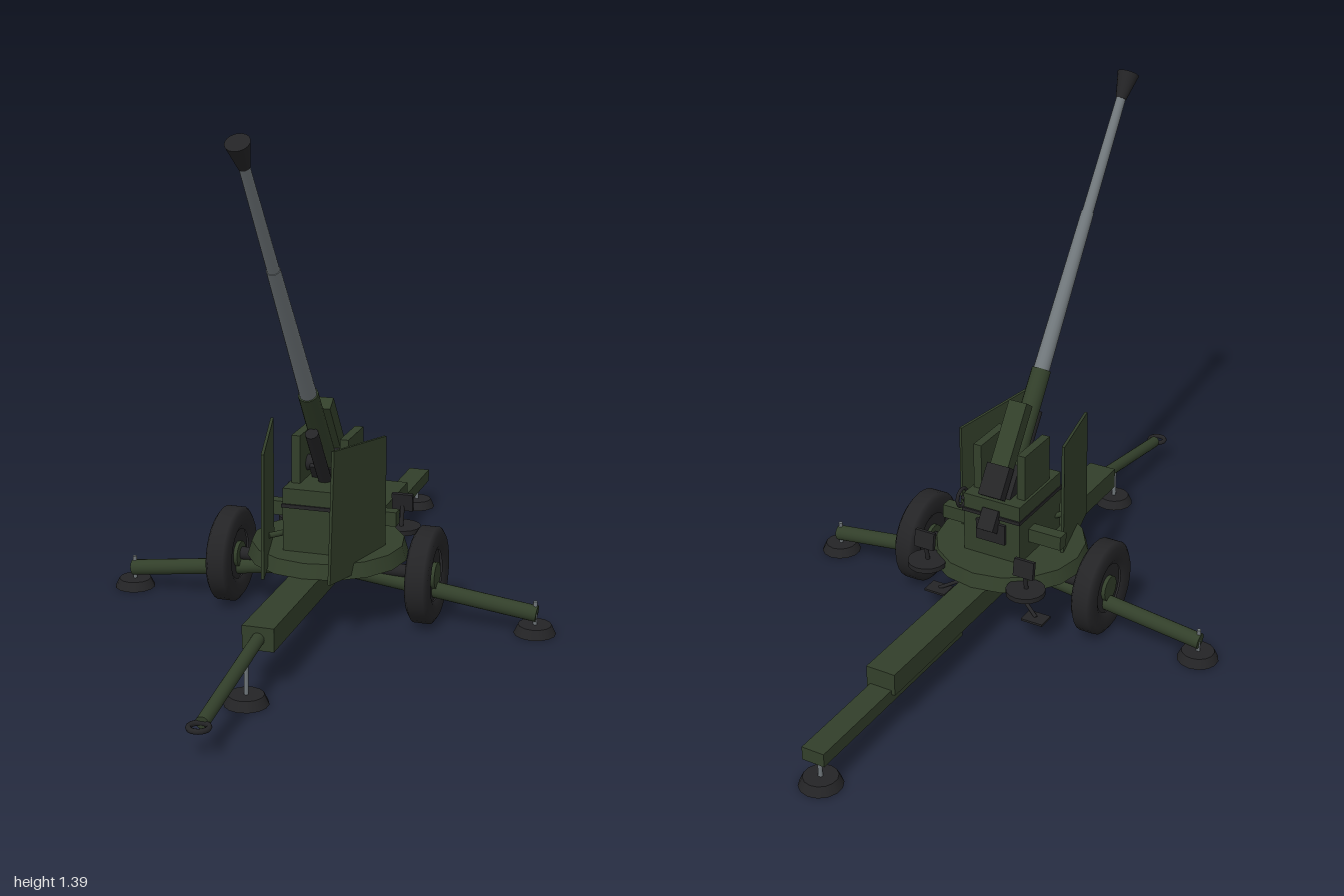
import * as THREE from 'three';

const mat = (color) => new THREE.MeshStandardMaterial({ color, side: THREE.DoubleSide });
const GREEN = mat(0x323f2a), DARK = mat(0x242426), STEEL = mat(0x70777b);
const V = (x, y, z) => new THREE.Vector3(x, y, z);

export function createModel() {
  const root = new THREE.Group();

  const add = (name, geo, material, x = 0, y = 0, z = 0, parent = root) => {
    const m = new THREE.Mesh(geo, material);
    m.name = name;
    m.position.set(x, y, z);
    parent.add(m);
    return m;
  };
  const box = (name, w, h, d, material, x, y, z, parent) =>
    add(name, new THREE.BoxGeometry(w, h, d), material, x, y, z, parent);
  const cyl = (name, rTop, rBottom, h, material, x, y, z, parent, sides = 16) =>
    add(name, new THREE.CylinderGeometry(rTop, rBottom, h, sides), material, x, y, z, parent);
  // Round bar between two points
  const bar = (name, a, b, r, material, parent = root, r2 = r) => {
    const dir = b.clone().sub(a), mid = a.clone().add(b).multiplyScalar(0.5);
    const m = cyl(name, r2, r, dir.length(), material, mid.x, mid.y, mid.z, parent);
    m.quaternion.setFromUnitVectors(V(0, 1, 0), dir.normalize());
    return m;
  };
  // Levelling foot: dish with a screw jack
  const foot = (name, x, z, top) => {
    const g = new THREE.Group();
    g.name = name;
    g.position.set(x, 0, z);
    cyl('footPad', 0.045, 0.057, 0.025, DARK, 0, 0.0125, 0, g, 14);
    cyl('jackScrew', 0.006, 0.006, top, STEEL, 0, top / 2, 0, g, 8);
    root.add(g);
  };

  // Chassis beams, tow bar and ring
  box('mainBeam', 0.084, 0.062, 1.24, GREEN, 0, 0.135, -0.05);
  box('rearBeam', 0.064, 0.037, 0.65, GREEN, 0, 0.098, -0.645);
  bar('towBar', V(0, 0.135, 0.56), V(0, 0.078, 0.945), 0.017, GREEN);
  add('towRing', new THREE.TorusGeometry(0.024, 0.007, 8, 20), DARK, 0, 0.077, 0.965)
    .rotation.x = Math.PI / 2;
  foot('frontFoot', 0, 0.655, 0.12);
  foot('rearFoot', 0, -0.943, 0.085);

  // Axle, wheels, outriggers
  bar('axle', V(-0.26, 0.135, 0), V(0.26, 0.135, 0), 0.018, DARK);
  const tyreProfile = [[0.07, -0.024], [0.085, -0.032], [0.118, -0.032], [0.132, -0.022],
    [0.132, 0.022], [0.118, 0.032], [0.085, 0.032], [0.07, 0.024]]
    .map(([r, h]) => new THREE.Vector2(r, h));
  for (const s of [-1, 1]) {
    const wheel = new THREE.Group();
    wheel.name = 'wheel';
    wheel.position.set(s * 0.282, 0.134, 0.005);
    wheel.rotation.z = -s * Math.PI / 2;
    add('tyre', new THREE.LatheGeometry(tyreProfile, 28), DARK, 0, 0, 0, wheel);
    cyl('rim', 0.075, 0.075, 0.036, DARK, 0, 0, 0, wheel, 24);
    cyl('hub', 0.036, 0.036, 0.058, GREEN, 0, 0, 0, wheel, 16);
    root.add(wheel);

    bar('outrigger', V(s * 0.06, 0.122, 0), V(s * 0.585, 0.055, 0), 0.022, GREEN);
    foot('outriggerFoot', s * 0.58, 0, 0.09);
  }

  // Turntable and carriage body
  cyl('pedestal', 0.07, 0.07, 0.07, DARK, 0, 0.14, 0);
  cyl('turntable', 0.21, 0.222, 0.04, GREEN, 0, 0.185, 0, root, 16);
  box('carriageBody', 0.175, 0.18, 0.235, GREEN, 0, 0.29, 0.01);
  box('bodyRidge', 0.18, 0.01, 0.245, DARK, 0, 0.332, 0.01);
  box('rearHatch', 0.09, 0.06, 0.012, DARK, 0, 0.285, -0.11);
  for (const s of [-1, 1]) {
    box('cradleCheek', 0.024, 0.14, 0.14, GREEN, s * 0.068, 0.443, 0.005);
    box('sideBracket', 0.1, 0.04, 0.035, GREEN, s * 0.136, 0.27, -0.04);
  }

  // Side shields, each given as [distance back from the front edge, height]
  const shield = (s, outline) => {
    const shape = new THREE.Shape(outline.map(([u, v]) => new THREE.Vector2(u, v)));
    const geo = new THREE.ExtrudeGeometry(shape, { depth: 0.008, bevelEnabled: false });
    geo.translate(0, 0, -0.004);
    const m = add('shield', geo, GREEN, s * 0.091, 0, 0.28);
    m.rotation.y = Math.atan2(0.28, s * 0.07);
    return m;
  };
  shield(1, [[0, 0.18], [0.285, 0.165], [0.288, 0.512], [0.02, 0.537]]);
  shield(-1, [[0, 0.175], [0.285, 0.172], [0.288, 0.535], [0.02, 0.51]]);
  for (const s of [-1, 1])
    bar('shieldStay', V(s * 0.08, 0.25, 0.1), V(s * 0.12, 0.25, 0.15), 0.008, GREEN);

  // Gun assembly: local y runs along the barrel, local -z is its upper side
  const gun = new THREE.Group();
  gun.name = 'gun';
  gun.position.set(0, 0.42, 0.005);
  gun.rotation.x = 0.611;
  root.add(gun);
  cyl('sleeve', 0.027, 0.029, 0.37, GREEN, 0, 0.105, 0, gun);
  cyl('barrelRear', 0.018, 0.023, 0.47, STEEL, 0, 0.515, 0, gun);
  cyl('barrelFront', 0.0135, 0.016, 0.35, STEEL, 0, 0.92, 0, gun);
  cyl('muzzleFlare', 0.031, 0.015, 0.075, DARK, 0, 1.123, 0, gun);
  box('recuperator', 0.055, 0.2, 0.04, GREEN, 0, 0.08, -0.065, gun);
  cyl('recoilCylinder', 0.018, 0.018, 0.2, DARK, 0, 0.08, 0.042, gun);
  box('breech', 0.085, 0.13, 0.075, DARK, 0, -0.05, -0.01, gun);
  box('loader', 0.07, 0.09, 0.03, DARK, 0, -0.045, -0.075, gun);
  box('loadingTray', 0.05, 0.06, 0.03, DARK, 0, -0.15, -0.045, gun);
  bar('trunnion', V(-0.075, 0, 0), V(0.075, 0, 0), 0.022, DARK, gun);

  // Aiming handwheel
  add('handwheel', new THREE.TorusGeometry(0.026, 0.005, 6, 18), DARK, 0.106, 0.35, -0.085)
    .rotation.y = Math.PI / 2;
  bar('handwheelShaft', V(0.08, 0.35, -0.085), V(0.106, 0.35, -0.085), 0.006, DARK);

  // Crew seats and footrests
  for (const s of [-1, 1]) {
    const x = s * 0.155;
    cyl('seat', 0.054, 0.054, 0.014, DARK, x, 0.188, -0.195, root, 16);
    bar('seatStem', V(x, 0.19, -0.19), V(x, 0.25, -0.202), 0.006, DARK);
    const back = box('backrest', 0.06, 0.05, 0.012, DARK, x, 0.262, -0.203);
    back.rotation.x = 0.15;
    bar('footrestArm', V(s * 0.07, 0.108, -0.09), V(x, 0.07, -0.135), 0.005, DARK);
    box('footrest', 0.065, 0.006, 0.05, DARK, x, 0.068, -0.137);
  }
  return root;
}
